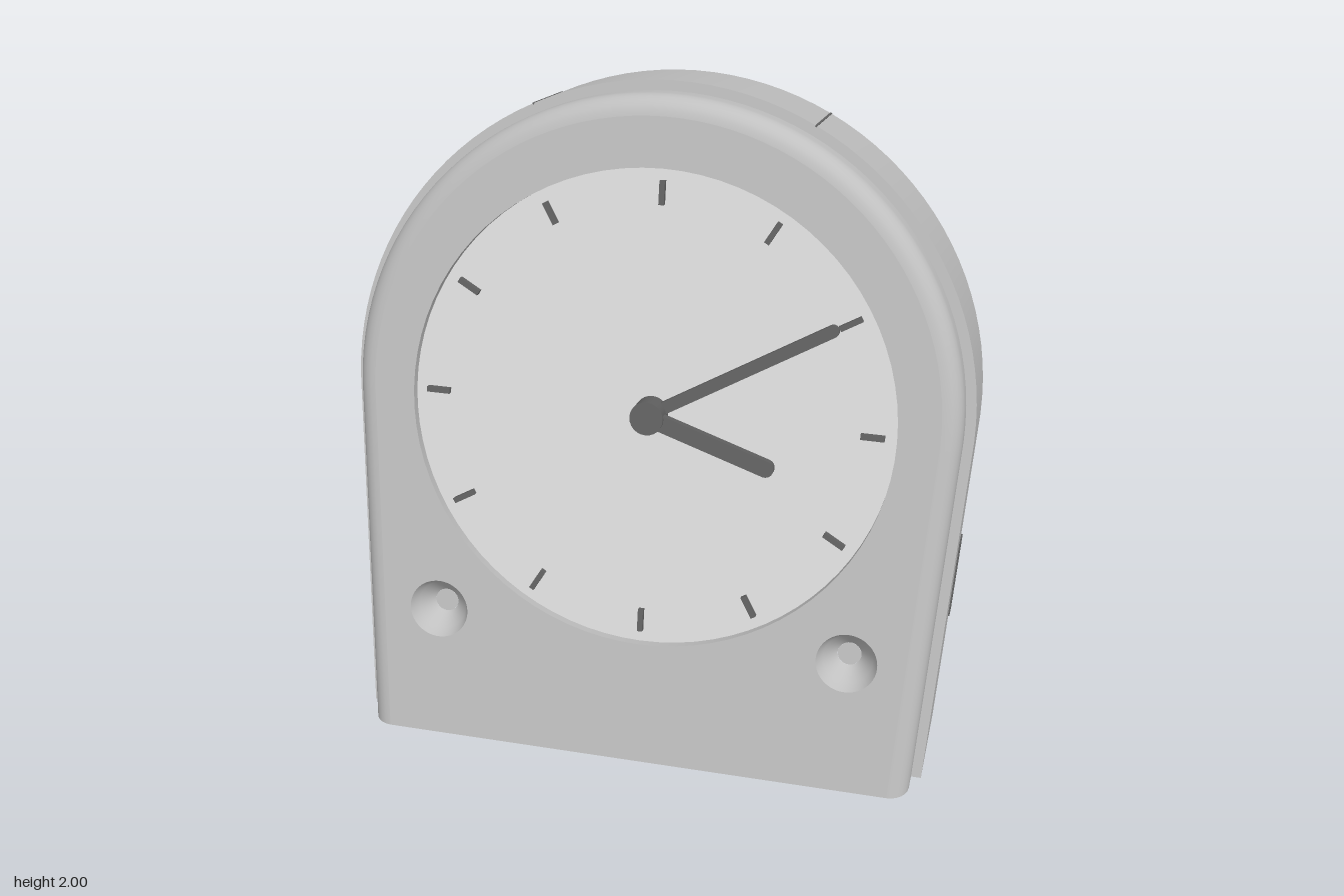
import * as THREE from 'three';
import { toCreasedNormals } from 'three/addons/utils/BufferGeometryUtils.js';

const TILT = 0.2365, SIN = Math.sin(TILT), COS = Math.cos(TILT);
const FRONT_Z = 0.55, R = 0.94, ARC_V = 1.14, SIDE_TOP = 1.088, DIAL_V = 1.116;
const SIDE_V = [0.475, 0.476, 0.55, 0.62, 0.719, 0.72, 0.78, 0.84, 0.9, 0.96, 1.02, SIDE_TOP];

// Leaning-frame point (x, v up the face, w out of the face) to model space
const lean = (x, v, w) => [x, v * COS + w * SIN, FRONT_Z - v * SIN + w * COS];
// Rear wall: an upright cylinder
const backZ = x => -0.55 + 1.4 - Math.sqrt(1.96 - x * x);

// Arched outline inset by e as [x, v]; starts at height v0 on the +x side, runs over the top and along the base
function outline(e, v0) {
  const half = [];
  for (const v of [v0, ...SIDE_V]) half.push([R - 0.0015 - e - 0.055 * (SIDE_TOP - v), v]);
  const a0 = -0.03;
  for (let i = 0; i <= 28; i++) {
    const a = a0 + (Math.PI / 2 - a0) * i / 28;
    half.push([(R - e) * Math.cos(a), ARC_V + (R - e) * Math.sin(a)]);
  }
  const pts = [...half, ...half.slice(0, -1).reverse().map(([x, v]) => [-x, v])];
  const x0 = half[0][0];
  for (let i = 1; i < 30; i++) pts.push([-x0 + 2 * x0 * i / 30, v0]);
  return pts;
}

// Ring at depth w, its foot trimmed flat on the ground
const ring = (e, w, wAt = () => w) =>
  outline(e, -w * SIN / COS).map(([x, v]) => lean(x, v, wAt(x, v)));

// Ring lying a distance t in front of the curved rear wall
function backRing(e, t) {
  const z0 = backZ(R - e - 0.05) + t, v0 = (FRONT_Z - z0) * SIN;
  return outline(e, v0).map(([x, v]) => {
    const z = backZ(x) + t;
    if (v === v0) return [x, 0, z];
    return lean(x, v, (z - FRONT_Z + v * SIN) / COS);
  });
}

// Skin a series of closed rings, running front to back
function loft(rings) {
  const pos = [];
  for (let k = 0; k + 1 < rings.length; k++) {
    const A = rings[k], B = rings[k + 1], n = A.length;
    for (let i = 0; i < n; i++) {
      const j = (i + 1) % n;
      pos.push(...A[i], ...B[i], ...A[j], ...A[j], ...B[i], ...B[j]);
    }
  }
  const g = new THREE.BufferGeometry();
  g.setAttribute('position', new THREE.Float32BufferAttribute(pos, 3));
  return toCreasedNormals(g, 0.55);
}

// Point on the rim of the rear slot along the ray towards (x, y)
function slotPoint([x, y]) {
  const a = 0.235, r = 0.145, cy = 1.0, len = Math.hypot(x, y - cy);
  const dx = x / len, dy = (y - cy) / len;
  let t = r / Math.max(Math.abs(dy), 1e-6);
  if (t * Math.abs(dx) > a) t = a * Math.abs(dx) + Math.sqrt(Math.max(0, r * r - a * a * dy * dy));
  return [dx * t, cy + dy * t];
}

// Round-ended bar from the origin along +x
function bar(length, width, depth) {
  const s = new THREE.Shape(), r = width / 2;
  s.absarc(length - r, 0, r, -Math.PI / 2, Math.PI / 2);
  s.absarc(0, 0, r, Math.PI / 2, Math.PI * 1.5);
  return new THREE.ExtrudeGeometry(s, { depth, bevelEnabled: false, curveSegments: 10 });
}

const disc = (r, h) => new THREE.CylinderGeometry(r, r, h, 24).rotateX(Math.PI / 2);

export function createModel() {
  const model = new THREE.Group();
  model.name = 'alarmClock';
  const mat = (name, color) => Object.assign(new THREE.MeshStandardMaterial({ color }), { name });
  const body = mat('body grey', 0xc0c0c0), pale = mat('dial light grey', 0xdedede);
  const dark = mat('dark grey', 0x626262);
  const add = (parent, name, geo, material, x = 0, y = 0, z = 0) => {
    const m = new THREE.Mesh(geo, material);
    m.name = name;
    m.position.set(x, y, z);
    parent.add(m);
    return m;
  };
  const leaning = new THREE.Group();
  leaning.name = 'frontDetails';
  leaning.rotation.x = -TILT;
  leaning.position.z = FRONT_Z;
  model.add(leaning);

  // Front shell with a rounded rim
  const r = 0.06, frontRings = [];
  for (let i = 0; i <= 6; i++) {
    const a = i / 6 * Math.PI / 2;
    frontRings.push(ring(0.03 + r * (1 - Math.sin(a)), -r * (1 - Math.cos(a))));
  }
  frontRings.push(ring(0.03, -0.14));
  add(model, 'frontShell', loft(frontRings), body);

  // Middle band, notched for the switch on the +x side
  const notch = (x, v) => (x > 0 && v > 0.4755 && v < 0.7195 ? -0.34 : -0.418);
  add(model, 'middleBand', loft([
    ring(0.035, -0.112), ring(0, -0.112), ring(0, -0.418, notch), ring(0.035, -0.418, notch),
  ]), body);

  // Back shell: rounded edge, curved rear wall, slot walls and slot floor
  const backRings = [ring(0.03, -0.3)];
  for (let i = 0; i <= 6; i++) {
    const a = i / 6 * Math.PI / 2;
    backRings.push(backRing(0.03 + r * (1 - Math.cos(a)), r * (1 - Math.sin(a))));
  }
  const outer = backRings.at(-1), slot = outer.map(slotPoint);
  for (let k = 1; k <= 12; k++) {
    backRings.push(outer.map((p, i) => {
      const x = p[0] + (slot[i][0] - p[0]) * k / 12;
      return [x, p[1] + (slot[i][1] - p[1]) * k / 12, backZ(x)];
    }));
  }
  backRings.push(slot.map(([x, y]) => [x, y, -0.38]), slot.map(() => [0, 1, -0.38]));
  add(model, 'backShell', loft(backRings), body);

  // Front face with openings for the dial and two bowls
  const face = new THREE.Shape(outline(0.03 + r, 0).map(([x, v]) => new THREE.Vector2(x, v)));
  const bowls = [-0.635, 0.635];
  for (const [x, v, rad] of [[0, DIAL_V, 0.727], ...bowls.map(b => [b, 0.417, 0.092])]) {
    face.holes.push(new THREE.Path().absarc(x, v, rad, 0, Math.PI * 2, true));
  }
  add(leaning, 'frontFace', new THREE.ShapeGeometry(face, 40), body);
  const lathe = pts => new THREE.LatheGeometry(pts.map(p => new THREE.Vector2(...p)), 80).rotateX(Math.PI / 2);
  add(leaning, 'dialWall', lathe([[0.727, 0], [0.727, -0.03]]), body, 0, DIAL_V);
  add(leaning, 'dial', new THREE.CircleGeometry(0.727, 80), pale, 0, DIAL_V, -0.03);
  for (const x of bowls) {
    add(leaning, 'bowl', lathe([[0.092, 0], [0.075, -0.035], [0.036, -0.08]]), body, x, 0.417);
    add(leaning, 'bowlFloor', new THREE.CircleGeometry(0.036, 24), body, x, 0.417, -0.08);
  }

  // Hour marks
  for (let i = 0; i < 12; i++) {
    const a = i * Math.PI / 6;
    const m = add(leaning, 'hourMark', new THREE.BoxGeometry(0.07, 0.016, 0.02), dark,
      0.655 * Math.cos(a), DIAL_V + 0.655 * Math.sin(a), -0.022);
    m.rotation.z = a;
  }

  // Hands and hub
  add(leaning, 'minuteHand', bar(0.62, 0.036, 0.018), dark, 0, DIAL_V, -0.018).rotation.z = 0.53;
  add(leaning, 'hourHand', bar(0.4, 0.05, 0.024), dark, 0, DIAL_V, 0.012).rotation.z = -0.31;
  add(leaning, 'hub', disc(0.05, 0.075), dark, 0, DIAL_V, 0.0075);

  // Side switch and the seams of the top button
  add(leaning, 'sideSwitch', new THREE.BoxGeometry(0.06, 0.245, 0.078), dark, 0.886, 0.597, -0.381)
    .rotation.z = -0.055;
  for (const s of [-1, 1]) {
    const a = 0.457 * s;
    add(leaning, 'buttonSeam', new THREE.BoxGeometry(0.006, 0.006, 0.306), dark,
      R * Math.sin(a), ARC_V + R * Math.cos(a) - 0.001, -0.265).rotation.z = -a;
  }

  // Battery cover seam following the curved rear wall
  const cover = new THREE.Shape();
  cover.moveTo(-0.44, 0.19).lineTo(0.44, 0.19);
  cover.absarc(0.44, 0.24, 0.05, -Math.PI / 2, 0);
  cover.absarc(0.26, 1.0, 0.23, 0, Math.PI / 2);
  cover.absarc(-0.26, 1.0, 0.23, Math.PI / 2, Math.PI);
  cover.absarc(-0.44, 0.24, 0.05, Math.PI, Math.PI * 1.5);
  const path = cover.getSpacedPoints(110).slice(0, -1)
    .map(p => new THREE.Vector3(p.x, p.y, backZ(p.x) + 0.003));
  add(model, 'coverSeam', new THREE.TubeGeometry(new THREE.CatmullRomCurve3(path, true), 220, 0.006, 6, true), dark);

  // Setting knob and two small buttons inside the slot
  add(model, 'settingKnob', disc(0.028, 0.14), dark, -0.145, 1.0, -0.445);
  for (const x of [0.17, 0.235]) {
    add(model, 'slotButtonRim', disc(0.026, 0.006), dark, x, 1.0, -0.381);
    add(model, 'slotButton', disc(0.021, 0.008), body, x, 1.0, -0.382);
  }

  // Screws on the rear wall
  for (const s of [-1, 1]) for (const [x, y] of [[0.61, 1.23], [0.71, 0.12]]) {
    for (const [name, rad, h, m] of [['screwRim', 0.029, 0.006, dark], ['screw', 0.022, 0.008, body]]) {
      add(model, name, disc(rad, h), m, s * x, y, backZ(x)).rotation.y = -s * Math.asin(x / 1.4);
    }
  }
  return model;
}
